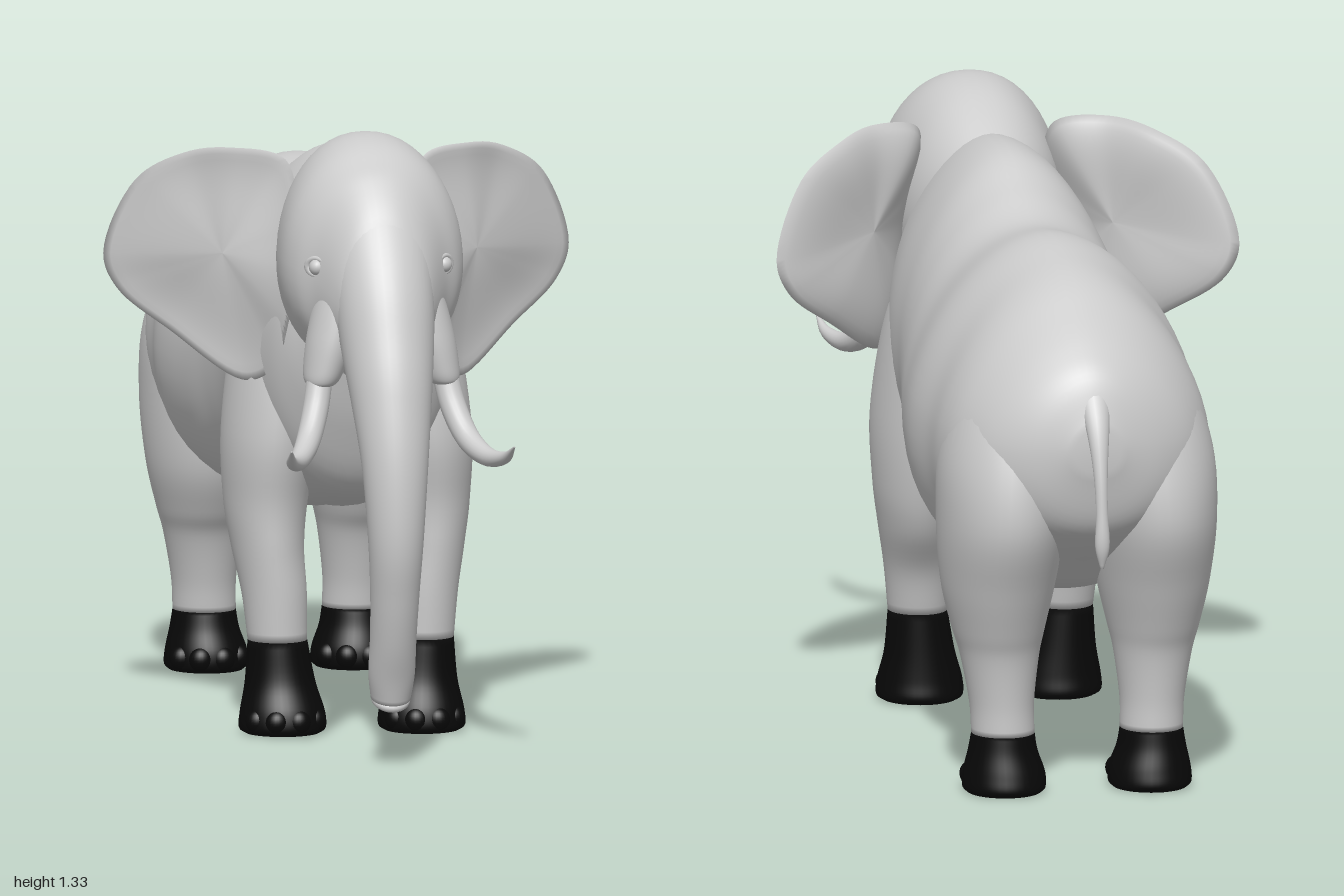
import * as THREE from 'three';

const V = (x, y, z) => new THREE.Vector3(x, y, z);
const UP = V(0, 1, 0), FWD = V(0, 0, 1);

// Surface of rows x cols points, closed around the columns
function grid(rows, cols, fn) {
  const pos = [], idx = [];
  for (let i = 0; i < rows; i++)
    for (let j = 0; j < cols; j++) pos.push(...fn(i, j).toArray());
  for (let i = 0; i < rows - 1; i++)
    for (let j = 0; j < cols; j++) {
      const a = i * cols + j, b = i * cols + (j + 1) % cols;
      idx.push(a, b, a + cols, b, b + cols, a + cols);
    }
  const g = new THREE.BufferGeometry();
  g.setAttribute('position', new THREE.Float32BufferAttribute(pos, 3));
  g.setIndex(idx);
  g.computeVertexNormals();
  return g;
}

// Smooth loft through stations [x, y, z, halfWidth, halfDepth]. Rings face dir,
// or follow the path if dir is null. egg narrows the upper side of each ring;
// top makes the upper half squarer (below 1) or more ridged (above 1).
function loft(stations, { dir = null, egg = 0, top = 1, cols = 40, steps = 6 } = {}) {
  const curve = f => new THREE.CatmullRomCurve3(stations.map(f), false, 'catmullrom', 0.5);
  const path = curve(s => V(s[0], s[1], s[2])), size = curve(s => V(s[3], s[4], 0));
  const n = (stations.length - 1) * steps;
  return grid(n + 3, cols, (i, j) => {
    const t = THREE.MathUtils.clamp((i - 1) / n, 0, 1);
    const p = path.getPoint(t), r = size.getPoint(t);
    if (i === 0 || i === n + 2) return p;
    const d = dir || path.getTangent(t);
    const u = V(1, 0, 0).addScaledVector(d, -d.x).normalize();
    const v = d.clone().cross(u);
    const a = j / cols * Math.PI * 2, e = Math.sin(a) > 0 ? top : 1;
    const [c, s] = [Math.cos(a), Math.sin(a)].map(k => Math.sign(k) * Math.abs(k) ** e);
    return p.addScaledVector(u, r.x * c * (1 - egg * s)).addScaledVector(v, r.y * s);
  });
}

// Upright sections along z from [z, top, bottom, halfWidth]
const sections = list => list.map(([z, t, b, w]) => [0, (t + b) / 2, z, w, (t - b) / 2]);

const ellipsoid = (x, y, z, a, b, c) =>
  new THREE.SphereGeometry(1, 24, 16).scale(a, b, c).translate(x, y, z);

function mirror(geo) {
  const g = geo.clone().scale(-1, 1, 1), ix = g.index.array;
  for (let i = 0; i < ix.length; i += 3) [ix[i], ix[i + 1]] = [ix[i + 1], ix[i]];
  g.computeVertexNormals();
  return g;
}

export function createModel() {
  const model = new THREE.Group();
  const grey = new THREE.MeshStandardMaterial({ color: 0xcccccc });
  const black = new THREE.MeshStandardMaterial({ color: 0x080808 });
  const add = (name, geo, mat = grey) => {
    const m = new THREE.Mesh(geo, mat);
    m.name = name;
    model.add(m);
  };
  const pair = (name, geo, mat) => {
    add(name + 'Left', geo, mat);
    add(name + 'Right', mirror(geo), mat);
  };

  // Barrel body, rump to neck
  add('body', loft(sections([
    [-0.935, 0.84, 0.74, 0.05], [-0.9, 0.94, 0.62, 0.15], [-0.84, 1.0, 0.56, 0.225],
    [-0.75, 1.06, 0.5, 0.275], [-0.66, 1.11, 0.44, 0.295], [-0.55, 1.14, 0.41, 0.298],
    [-0.4, 1.16, 0.41, 0.312], [-0.2, 1.14, 0.42, 0.285], [-0.07, 1.19, 0.445, 0.262],
    [0.05, 1.245, 0.465, 0.246], [0.2, 1.25, 0.475, 0.238], [0.36, 1.22, 0.53, 0.205],
    [0.44, 1.16, 0.67, 0.17], [0.49, 1.06, 0.83, 0.11],
  ]), { dir: FWD, egg: 0.12, top: 1.06, cols: 56 }));

  // Head
  add('head', loft(sections([
    [0.2, 1.2, 0.9, 0.12], [0.32, 1.275, 0.84, 0.165],
    [0.41, 1.316, 0.81, 0.183], [0.5, 1.33, 0.81, 0.196], [0.58, 1.317, 0.82, 0.197],
    [0.64, 1.285, 0.83, 0.179], [0.69, 1.25, 0.83, 0.144], [0.75, 1.18, 0.83, 0.113],
    [0.79, 1.09, 0.85, 0.092], [0.815, 1.02, 0.9, 0.06],
  ]), { dir: FWD, egg: 0.06, top: 0.93, cols: 48 }));
  add('lowerJaw', ellipsoid(0, 0.855, 0.625, 0.085, 0.055, 0.1));

  // Trunk with a rimmed tip
  add('trunk', loft([
    [0, 1.21, 0.61, 0.09, 0.08], [0, 1.12, 0.668, 0.11, 0.1], [0, 1.0, 0.735, 0.108, 0.11],
    [0, 0.9, 0.785, 0.1, 0.105], [0, 0.8, 0.835, 0.088, 0.092], [0, 0.66, 0.885, 0.072, 0.072],
    [0, 0.5, 0.897, 0.06, 0.068], [0, 0.38, 0.882, 0.053, 0.062], [0, 0.28, 0.86, 0.05, 0.058],
    [0, 0.2, 0.838, 0.05, 0.052], [0, 0.145, 0.823, 0.043, 0.05],
  ]));
  add('trunkTip', new THREE.TorusGeometry(0.033, 0.01, 12, 32).scale(1, 1.15, 1)
    .rotateX(2.08).translate(0, 0.145, 0.823));

  // Cheeks running down to the tusks
  pair('cheek', loft([
    [0.05, 1.12, 0.65, 0.04, 0.05], [0.08, 1.01, 0.67, 0.055, 0.075], [0.105, 0.92, 0.685, 0.054, 0.075],
    [0.124, 0.85, 0.695, 0.045, 0.065], [0.132, 0.82, 0.705, 0.036, 0.05], [0.134, 0.81, 0.71, 0.022, 0.034],
  ], { dir: V(0, -1, 0) }));
  pair('tusk', loft([
    [0.135, 0.84, 0.71, 0.028, 0.028], [0.15, 0.765, 0.74, 0.028, 0.028],
    [0.175, 0.7, 0.79, 0.026, 0.026], [0.205, 0.67, 0.86, 0.021, 0.021],
    [0.232, 0.677, 0.935, 0.013, 0.013], [0.243, 0.708, 0.995, 0.002, 0.002],
  ], { cols: 20 }));

  // Eyes with lids
  const eyeAt = g => g.rotateY(0.85).translate(0.138, 1.065, 0.686);
  pair('eye', eyeAt(new THREE.SphereGeometry(0.018, 20, 14)));
  pair('eyelid', eyeAt(new THREE.TorusGeometry(0.021, 0.007, 10, 24).scale(1.25, 0.9, 1)));

  // Dished ears: back sheet, rim, front sheet
  const rim = new THREE.CatmullRomCurve3([
    V(0.15, 1.25, 0.33), V(0.26, 1.27, 0.27), V(0.35, 1.25, 0.19), V(0.445, 1.185, 0.125),
    V(0.508, 1.02, 0.08), V(0.48, 0.945, 0.09), V(0.375, 0.86, 0.165), V(0.24, 0.77, 0.31),
    V(0.185, 0.81, 0.4), V(0.165, 0.91, 0.46), V(0.15, 1.0, 0.47), V(0.14, 1.12, 0.42),
  ], true);
  const hub = V(0.27, 1.04, 0.255), facing = V(0.57, 0, 0.82);
  pair('ear', grid(33, 96, (i, j) => {
    const t = i / 16 - 1, s = 1 - Math.abs(t);
    const q = rim.getPoint(1 - j / 96).sub(hub), h = q.dot(facing);
    const thick = 0.014 * Math.sqrt(1 - s * s) * Math.sign(t);
    q.addScaledVector(facing, -h).multiplyScalar(s);
    return q.addScaledVector(facing, h * s ** 1.25 + thick - 0.04 * s * s * (1 - s * s)).add(hub);
  }));

  // Legs and feet share the ankle section
  const frontAnkle = [0.16, 0.2, 0.28, 0.064, 0.072], rearAnkle = [0.163, 0.13, -0.7, 0.068, 0.076];
  pair('frontLeg', loft([
    frontAnkle, [0.165, 0.3, 0.267, 0.07, 0.09], [0.175, 0.4, 0.237, 0.078, 0.123],
    [0.177, 0.5, 0.222, 0.09, 0.142], [0.167, 0.65, 0.22, 0.104, 0.167],
    [0.143, 0.85, 0.2, 0.1, 0.165], [0.12, 1.0, 0.18, 0.07, 0.1],
  ], { dir: UP }));
  pair('rearLeg', loft([
    rearAnkle, [0.165, 0.2, -0.695, 0.07, 0.083], [0.168, 0.3, -0.687, 0.085, 0.105],
    [0.17, 0.36, -0.68, 0.1, 0.134], [0.17, 0.46, -0.677, 0.122, 0.176],
    [0.165, 0.6, -0.692, 0.138, 0.21], [0.153, 0.75, -0.685, 0.143, 0.2],
    [0.125, 0.9, -0.665, 0.12, 0.16], [0.095, 1.0, -0.65, 0.06, 0.08],
  ], { dir: UP }));
  pair('frontFoot', loft([
    [0.152, 0, 0.298, 0.08, 0.082], [0.152, 0.012, 0.298, 0.094, 0.096], [0.152, 0.05, 0.297, 0.091, 0.092],
    [0.155, 0.11, 0.285, 0.076, 0.078], frontAnkle,
  ], { dir: UP }), black);
  pair('rearFoot', loft([
    [0.16, 0, -0.697, 0.08, 0.088], [0.16, 0.012, -0.697, 0.09, 0.1], [0.16, 0.045, -0.695, 0.088, 0.097],
    [0.163, 0.09, -0.698, 0.075, 0.083], rearAnkle,
  ], { dir: UP }), black);

  // Toes fanned round the front of each foot
  for (const a of [-0.95, -0.32, 0.32, 0.95]) {
    const x = Math.sin(a) * 0.074, z = Math.cos(a) * 0.078;
    pair('frontToe', ellipsoid(0.152 + x, 0.03, 0.298 + z, 0.027, 0.028, 0.026), black);
    pair('rearToe', ellipsoid(0.16 + x, 0.03, -0.69 + z, 0.027, 0.028, 0.026), black);
  }

  // Tail
  add('tail', loft([
    [0, 0.92, -0.87, 0.04, 0.03], [0, 0.84, -0.932, 0.026, 0.02], [0, 0.75, -0.965, 0.016, 0.015],
    [0, 0.66, -0.982, 0.013, 0.012], [0, 0.59, -0.986, 0.016, 0.013], [0, 0.54, -0.982, 0.004, 0.004],
  ], { cols: 18 }));

  return model;
}
